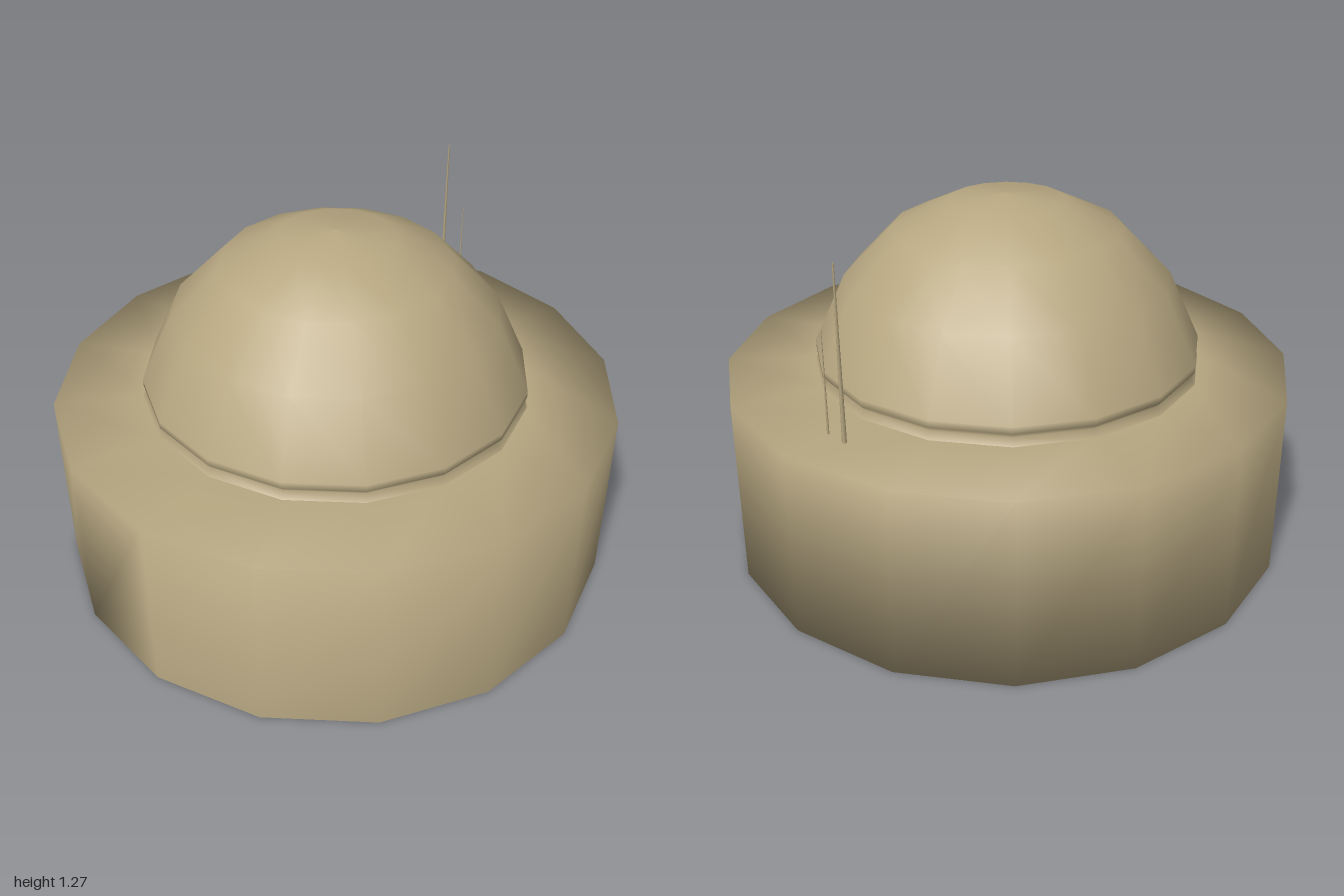
import * as THREE from 'three';

const SIDES = 16;

export function createModel() {
  const model = new THREE.Group();
  const sand = new THREE.MeshStandardMaterial({ color: 0xb8a882, side: THREE.DoubleSide });
  sand.name = 'sand';

  const add = (name, geometry, x = 0, y = 0, z = 0) => {
    const mesh = new THREE.Mesh(geometry, sand);
    mesh.name = name;
    mesh.position.set(x, y, z);
    model.add(mesh);
  };

  // Drum base: three rings sharing vertices, so the shading rolls over the rims
  const positions = [], index = [];
  for (const [radius, y] of [[1, 0], [1, 0.66], [0.68, 0.667]]) {
    for (let i = 0; i < SIDES; i++) {
      const a = (i / SIDES) * Math.PI * 2;
      positions.push(radius * Math.cos(a), y, radius * Math.sin(a));
    }
  }
  // wall, then the flat ledge around the dome
  for (let ring = 0; ring < 2; ring++) {
    for (let i = 0; i < SIDES; i++) {
      const a = ring * SIDES + i, b = ring * SIDES + (i + 1) % SIDES;
      index.push(a, a + SIDES, b, b, a + SIDES, b + SIDES);
    }
  }
  // underside plate, left open along one chord
  for (let i = 10; i < 19; i++) index.push(9, i % SIDES, (i + 1) % SIDES);
  const base = new THREE.BufferGeometry();
  base.setAttribute('position', new THREE.Float32BufferAttribute(positions, 3));
  base.setIndex(index);
  base.computeVertexNormals();
  add('base', base);

  // Dome with a small groove at its foot
  const profile = [
    [0.69, 0.662], [0.665, 0.69], [0.683, 0.71], [0.683, 0.735],
    [0.57, 0.98], [0.4, 1.155], [0.2, 1.25], [0, 1.272],
  ].map(([r, y]) => new THREE.Vector2(r, y));
  add('dome', new THREE.LatheGeometry(profile, SIDES));

  // Two thin antennas on the left ledge
  for (const [name, z, height, radius] of [
    ['tallAntenna', -0.08, 0.6, 0.008],
    ['shortAntenna', 0, 0.36, 0.004],
  ]) {
    add(name, new THREE.CylinderGeometry(radius * 0.35, radius, height, 6), 0.82, 0.66 + height / 2, z);
  }

  return model;
}
